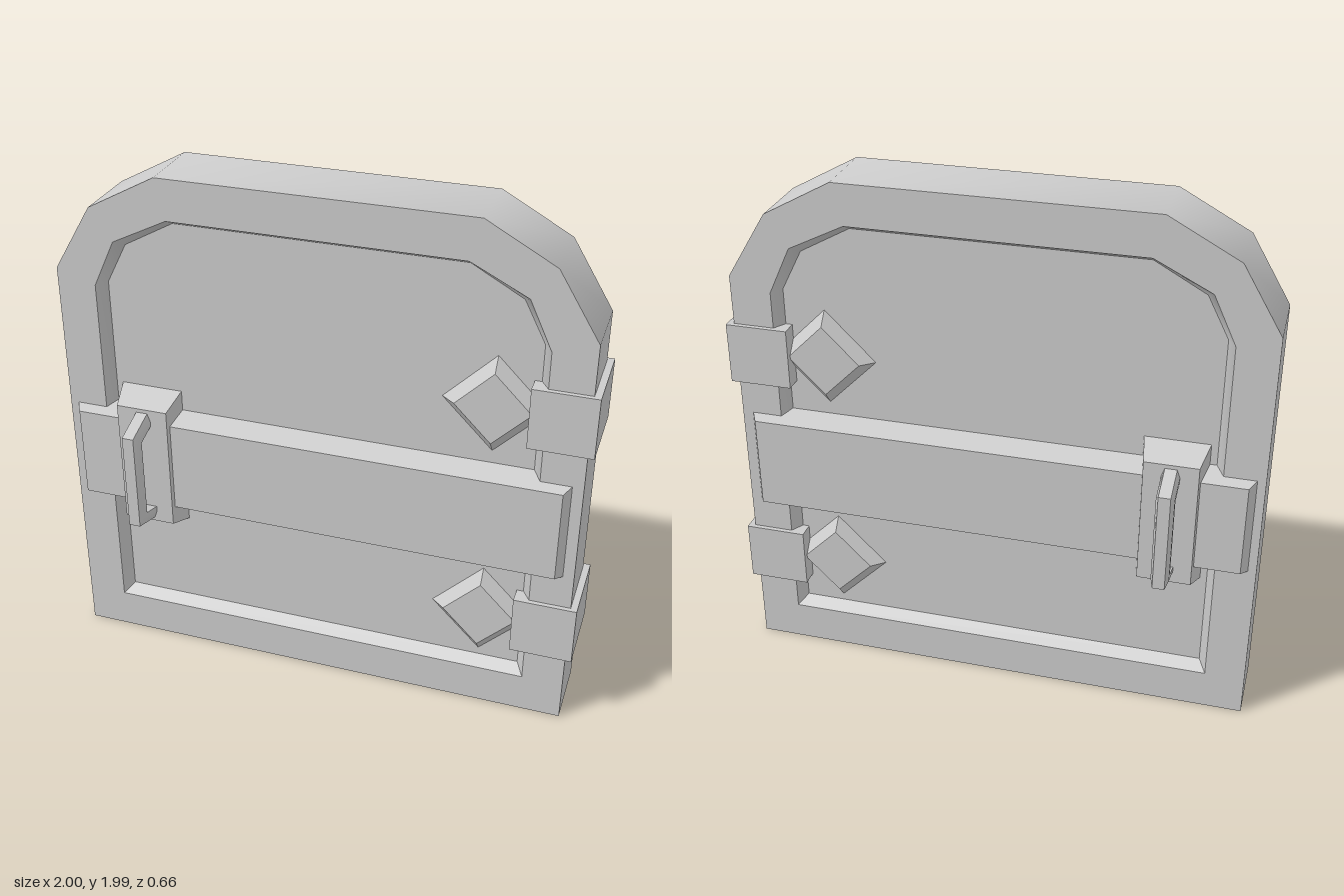
import * as THREE from 'three';
import { toCreasedNormals } from 'three/addons/utils/BufferGeometryUtils.js';

const material = new THREE.MeshStandardMaterial({ color: 0xcccccc });

// Joins rings of equal point count (counter-clockwise along the path) and caps both ends.
function loft(rings) {
  const pos = [];
  const tri = (a, b, c) => pos.push(...a, ...b, ...c);
  const n = rings[0].length;
  const last = rings[rings.length - 1];
  for (let r = 0; r < rings.length - 1; r++) {
    const a = rings[r], b = rings[r + 1];
    for (let i = 0; i < n; i++) {
      const j = (i + 1) % n;
      tri(a[i], a[j], b[j]);
      tri(a[i], b[j], b[i]);
    }
  }
  for (let i = 1; i < n - 1; i++) {
    tri(rings[0][0], rings[0][i + 1], rings[0][i]);
    tri(last[0], last[i], last[i + 1]);
  }
  const geometry = new THREE.BufferGeometry();
  geometry.setAttribute('position', new THREE.Float32BufferAttribute(pos, 3));
  return toCreasedNormals(geometry, 0.7);
}

function mesh(name, geometry) {
  const m = new THREE.Mesh(geometry, material);
  m.name = name;
  return m;
}

const at = (points, z) => points.map(([x, y]) => [x, y, z]);
const rect = (x0, x1, h) => [[x0, -h], [x1, -h], [x1, h], [x0, h]];
const diamond = (r) => [[0, -r], [r, 0], [0, r], [-r, 0]];

const MID = 0.85;    // height of the crossbar, about which both faces are symmetric
const HALF = 0.137;  // half thickness of the frame
const PANEL = 0.09;  // half thickness of the recessed panel

// Door slab: frame, bevelled lip and recessed panel on both faces
function doorSlab() {
  const outer = [[-1, 0], [0.975, 0], [0.975, 1.6], [0.82, 1.85],
    [0.565, 1.99], [-0.59, 1.99], [-0.85, 1.85], [-1, 1.6]];
  const lip = [[-0.85, 0.155], [0.82, 0.155], [0.82, 1.55], [0.735, 1.73],
    [0.525, 1.835], [-0.555, 1.835], [-0.765, 1.73], [-0.85, 1.55]];
  const inner = [[-0.82, 0.185], [0.79, 0.185], [0.79, 1.55], [0.71, 1.705],
    [0.52, 1.81], [-0.55, 1.81], [-0.74, 1.705], [-0.82, 1.55]];
  return loft([
    at(inner, -PANEL), at(lip, -HALF), at(outer, -HALF),
    at(outer, HALF), at(lip, HALF), at(inner, PANEL),
  ]);
}

// Pull handle: a bracket swept from base to base with a chamfered outer edge
function pullHandle() {
  const path = [ // outer y, z, then inner y, z
    [-0.235, 0.19, -0.183, 0.19], [-0.192, 0.33, -0.155, 0.283],
    [0.192, 0.33, 0.155, 0.283], [0.235, 0.19, 0.183, 0.19],
  ];
  const cx = -0.672, w = 0.033, edge = 0.022;
  return loft(path.map(([oy, oz, iy, iz]) => {
    const my = oy + (iy - oy) * 0.6, mz = oz + (iz - oz) * 0.6;
    return [[cx - edge, oy, oz], [cx + edge, oy, oz], [cx + w, my, mz],
      [cx + w, iy, iz], [cx - w, iy, iz], [cx - w, my, mz]];
  }));
}

// Fittings for one face, built around the crossbar height
function fittings(name) {
  const group = new THREE.Group();
  group.name = name;
  group.add(mesh('crossbar', loft([
    at(rect(-0.995, 0.96, 0.207), PANEL),
    at(rect(-0.945, 0.91, 0.18), 0.18),
  ])));
  group.add(mesh('latchPlate', loft([
    at(rect(-0.795, -0.555, 0.287), PANEL),
    at(rect(-0.772, -0.573, 0.247), 0.2),
  ])));
  group.add(mesh('pullHandle', pullHandle()));
  for (const side of [-1, 1]) {
    const stud = mesh('diamondStud', loft([
      at(diamond(0.195), PANEL - 0.005),
      at(diamond(0.138), 0.132),
    ]));
    stud.position.set(0.635, side * 0.446, 0);
    group.add(stud);
  }
  group.position.y = MID;
  return group;
}

export function createModel() {
  const model = new THREE.Group();
  model.name = 'hatchDoor';
  model.add(mesh('doorSlab', doorSlab()));

  const back = fittings('backFittings');
  back.rotation.x = Math.PI;
  model.add(fittings('frontFittings'), back);

  // Hinge blocks wrap the left edge
  for (const side of [-1, 1]) {
    const hinge = mesh('hinge', new THREE.BoxGeometry(0.235, 0.233, 0.31));
    hinge.position.set(0.8825, MID + side * 0.444, 0);
    model.add(hinge);
  }
  return model;
}
